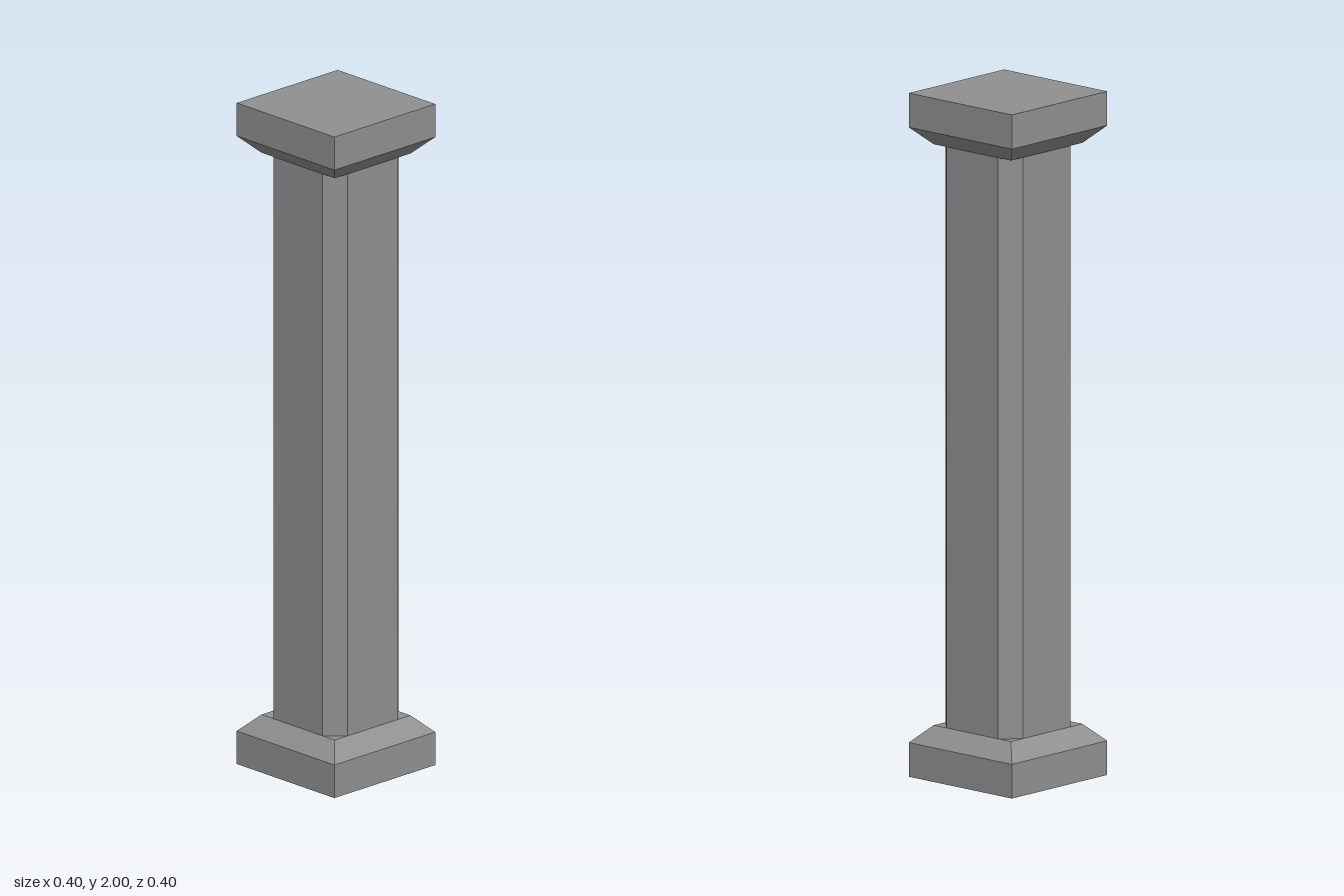
import * as THREE from 'three';

export function createModel() {
  const group = new THREE.Group();
  const stone = new THREE.MeshStandardMaterial({ color: 0x909090, flatShading: true });
  stone.name = 'grey stone';

  const add = (name, geometry, y) => {
    const mesh = new THREE.Mesh(geometry, stone);
    mesh.name = name;
    mesh.position.y = y;
    group.add(mesh);
  };

  // Square frustum, given half-widths at top and bottom
  const frustum = (top, bottom, height) =>
    new THREE.CylinderGeometry(top * Math.SQRT2, bottom * Math.SQRT2, height, 4).rotateY(Math.PI / 4);

  // Square slabs and sloped mouldings at both ends
  add('basePlinth', new THREE.BoxGeometry(0.4, 0.1, 0.4), 0.05);
  add('baseMoulding', frustum(0.15, 0.2, 0.05), 0.125);
  add('capitalMoulding', frustum(0.2, 0.15, 0.05), 1.875);
  add('capitalSlab', new THREE.BoxGeometry(0.4, 0.1, 0.4), 1.95);

  // Square shaft with chamfered corners
  const w = 0.15, c = 0.1;
  const section = new THREE.Shape([
    [w, -c], [w, c], [c, w], [-c, w], [-w, c], [-w, -c], [-c, -w], [c, -w],
  ].map(([x, y]) => new THREE.Vector2(x, y)));
  const shaft = new THREE.ExtrudeGeometry(section, { depth: 1.7, bevelEnabled: false });
  shaft.rotateX(-Math.PI / 2);
  add('shaft', shaft, 0.15);

  return group;
}
